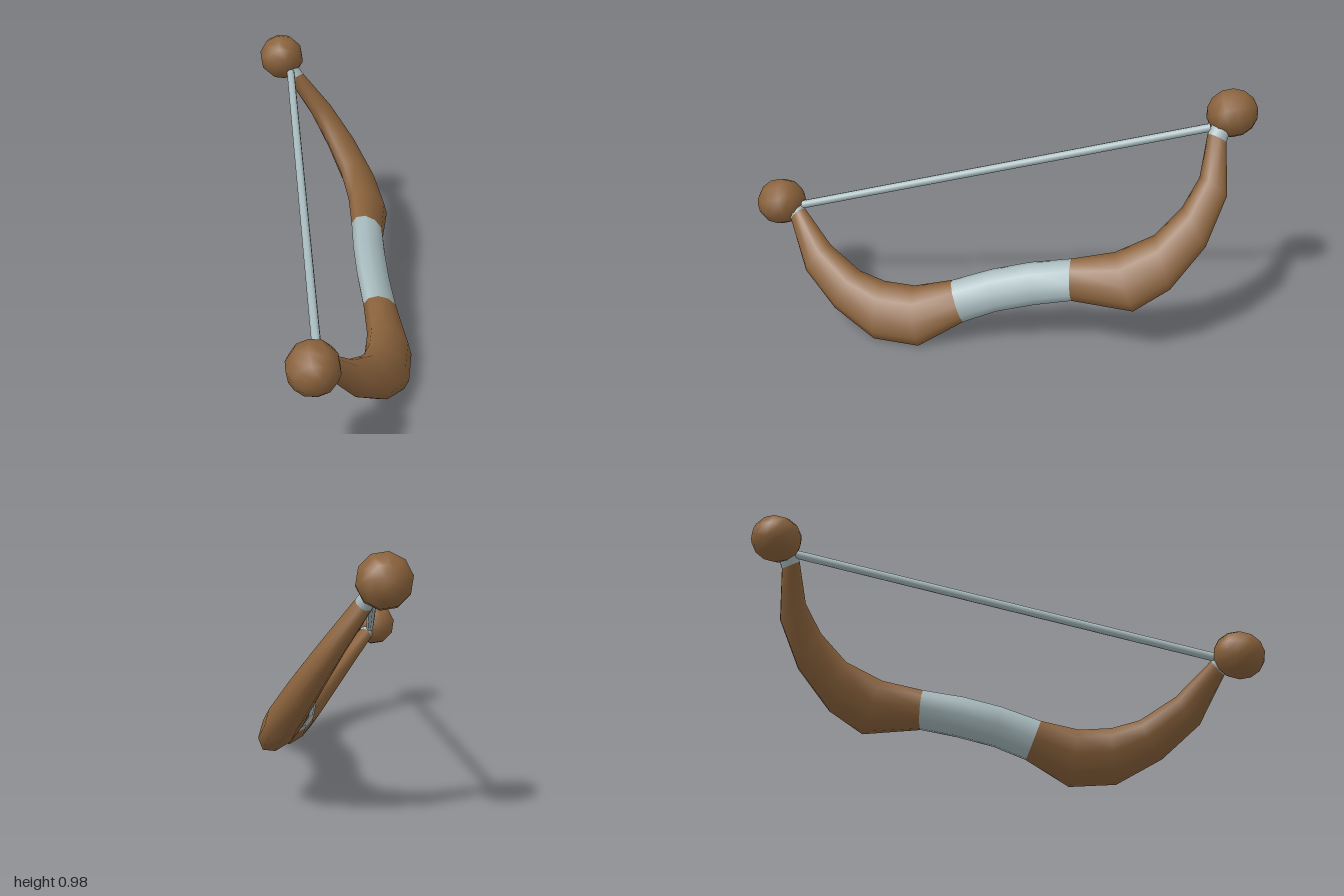
import * as THREE from 'three';

// The bow lies in one tilted plane; NORMAL is that plane's unit normal.
const NORMAL = new THREE.Vector3(-0.77, -0.576, -0.278).normalize();
const onPlane = (z, y) => new THREE.Vector3(0.348 - 0.748 * y - 0.361 * z, y, z);

// Stations: inner z, inner y, outer z, outer y, half thickness
const TIP_A = [
  [0.835, 0.445, 0.89, 0.39, 0.03],
  [0.80, 0.40, 0.86, 0.35, 0.033],
];
const LIMB_A = [
  TIP_A[1],
  [0.69, 0.29, 0.80, 0.19, 0.045],
  [0.57, 0.22, 0.68, 0.08, 0.056],
  [0.47, 0.20, 0.52, 0.0, 0.064],
  [0.35, 0.20, 0.34, 0.0, 0.066],
  [0.20, 0.235, 0.16, 0.10, 0.06],
];
const GRIP = [
  LIMB_A[5],
  [0.04, 0.29, 0.03, 0.15, 0.06],
  [-0.11, 0.33, -0.12, 0.19, 0.06],
  [-0.27, 0.36, -0.26, 0.22, 0.06],
];
const LIMB_B = [
  GRIP[3],
  [-0.43, 0.40, -0.49, 0.215, 0.066],
  [-0.58, 0.47, -0.63, 0.30, 0.064],
  [-0.69, 0.57, -0.77, 0.45, 0.056],
  [-0.76, 0.67, -0.86, 0.62, 0.045],
  [-0.80, 0.81, -0.87, 0.79, 0.033],
];
const TIP_B = [LIMB_B[5], [-0.825, 0.86, -0.89, 0.835, 0.03]];

// Skins elliptical rings into a smooth tube
function loft(stations, sides = 10) {
  const pos = [], index = [];
  stations.forEach(([iz, iy, oz, oy, t], i) => {
    const inner = onPlane(iz, iy), outer = onPlane(oz, oy);
    const centre = inner.clone().add(outer).multiplyScalar(0.5);
    const half = outer.sub(inner).multiplyScalar(0.48);
    for (let j = 0; j < sides; j++) {
      const a = (j / sides) * Math.PI * 2;
      const p = centre.clone().addScaledVector(half, Math.cos(a)).addScaledVector(NORMAL, t * Math.sin(a));
      pos.push(p.x, p.y, p.z);
      if (i < stations.length - 1) {
        const k = (j + 1) % sides, r = i * sides;
        index.push(r + j, r + k, r + sides + k, r + j, r + sides + k, r + sides + j);
      }
    }
  });
  const g = new THREE.BufferGeometry();
  g.setAttribute('position', new THREE.Float32BufferAttribute(pos, 3));
  g.setIndex(index);
  g.computeVertexNormals();
  return g;
}

export function createModel() {
  const wood = new THREE.MeshStandardMaterial({ color: 0x8a623c });
  wood.name = 'wood';
  const wrap = new THREE.MeshStandardMaterial({ color: 0xa5b8bb });
  wrap.name = 'paleGrey';

  const bow = new THREE.Group();
  bow.name = 'bow';
  const add = (name, geometry, material) => {
    const m = new THREE.Mesh(geometry, material);
    m.name = name;
    bow.add(m);
    return m;
  };

  // Limbs, grip and the bands at the tips
  add('frontLimb', loft(LIMB_A), wood);
  add('backLimb', loft(LIMB_B), wood);
  add('grip', loft(GRIP), wrap);
  add('frontBand', loft(TIP_A), wrap);
  add('backBand', loft(TIP_B), wrap);

  // Round knobs, poles turned along the bow's length
  const up = new THREE.Vector3(0, 1, 0);
  const ends = [['frontKnob', -0.287, 0.412, 0.9], ['backKnob', -0.003, 0.882, -0.9]];
  for (const [name, x, y, z] of ends) {
    const knob = add(name, new THREE.SphereGeometry(0.1, 10, 7), wood);
    knob.position.set(x, y, z);
    knob.quaternion.setFromUnitVectors(up, new THREE.Vector3(0.154, 0.254, -0.954).normalize());
    knob.scale.set(0.97, 1, 0.97);
  }

  // Straight string between the tips
  const from = onPlane(0.815, 0.41), to = onPlane(-0.815, 0.833);
  const dir = to.clone().sub(from);
  const string = add('string', new THREE.CylinderGeometry(0.017, 0.017, dir.length(), 8), wrap);
  string.position.copy(from).add(to).multiplyScalar(0.5);
  string.quaternion.setFromUnitVectors(up, dir.normalize());

  return bow;
}
